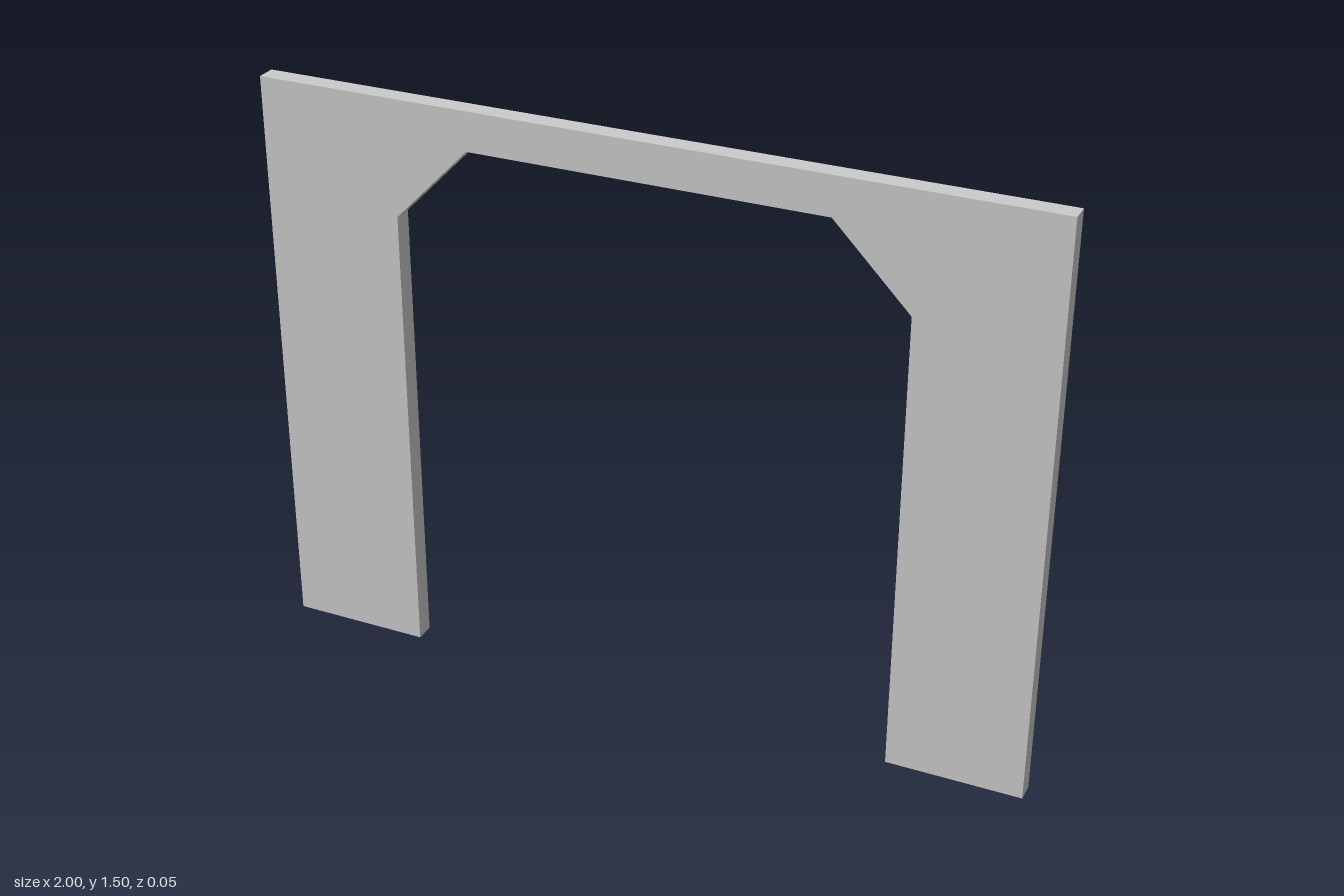
import * as THREE from 'three';

const HEIGHT = 1.5;
const DEPTH = 0.05;

export function createModel() {
  const group = new THREE.Group();
  group.name = 'wallArch';

  // Wall outline, with a chamfered opening slightly off centre
  const outline = [
    [-1, 0], [-0.64, 0], [-0.64, 1.2], [-0.445, 1.4],
    [0.46, 1.4], [0.655, 1.2], [0.655, 0], [1, 0],
    [1, HEIGHT], [-1, HEIGHT],
  ].map(([x, y]) => new THREE.Vector2(x, y));

  // Flat panel, centred on z = 0
  const geometry = new THREE.ExtrudeGeometry(new THREE.Shape(outline), {
    depth: DEPTH,
    bevelEnabled: false,
  });
  geometry.translate(0, 0, -DEPTH / 2);

  const material = new THREE.MeshStandardMaterial({ color: 0xcccccc });
  const wall = new THREE.Mesh(geometry, material);
  wall.name = 'wallWithDoorway';
  group.add(wall);

  return group;
}
